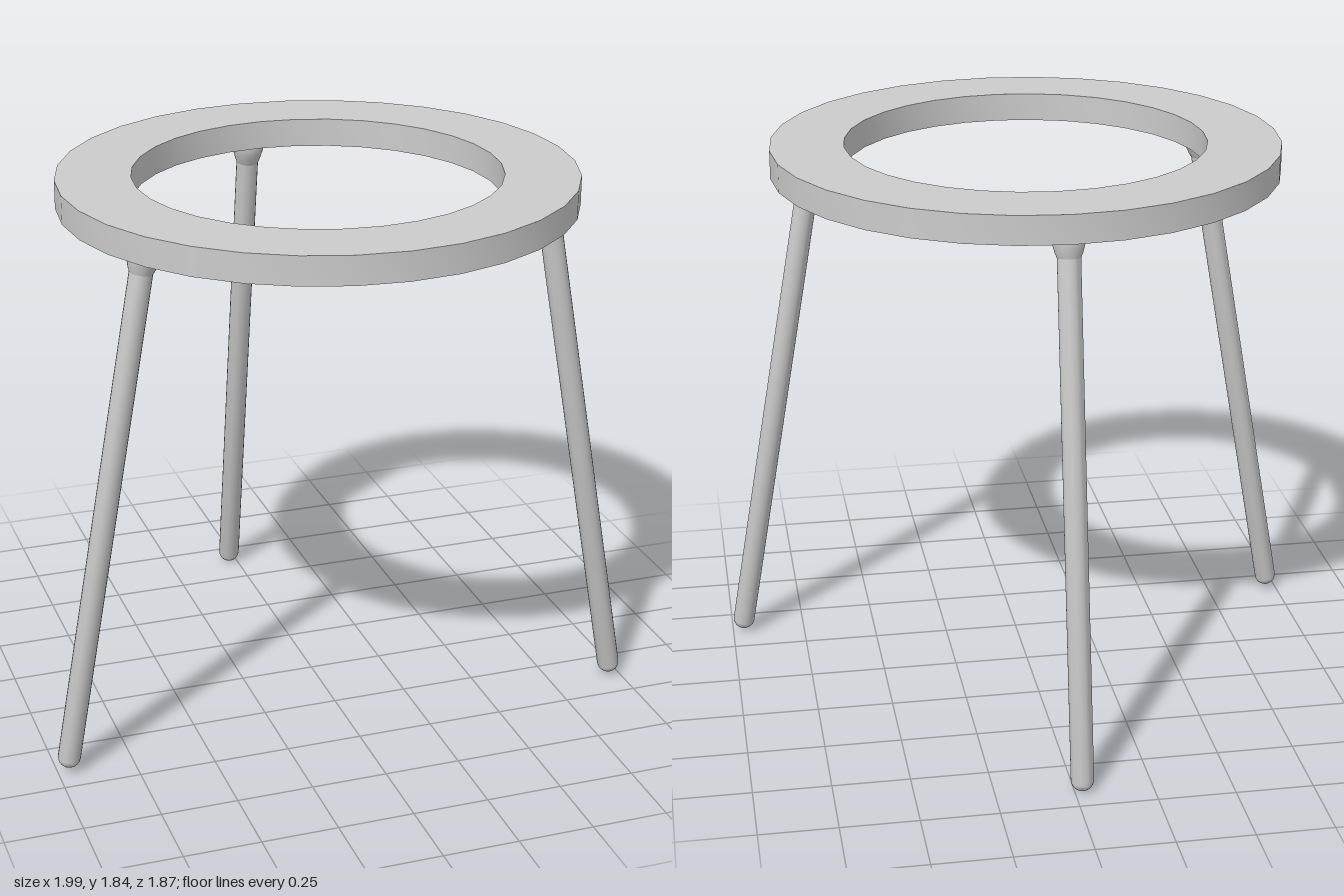
import * as THREE from 'three';
import { toCreasedNormals } from 'three/addons/utils/BufferGeometryUtils.js';

const material = new THREE.MeshStandardMaterial({ color: 0xcccccc });
const UP = new THREE.Vector3(0, 1, 0);

// Turns [radius, height] pairs into a solid with crisp profile corners
function turned(profile, segments) {
  const points = profile.map(([r, y]) => new THREE.Vector2(r, y));
  return toCreasedNormals(new THREE.LatheGeometry(points, segments), 0.7);
}

function addMesh(parent, name, geometry) {
  const mesh = new THREE.Mesh(geometry, material);
  mesh.name = name;
  parent.add(mesh);
  return mesh;
}

// Splayed round leg with a domed foot and a flared collar under the seat
function createLeg(name, foot, top) {
  const leg = new THREE.Group();
  leg.name = name;
  const axis = top.clone().sub(foot);
  const length = axis.length();
  const radius = 0.037;

  const shaft = [];
  for (let i = 0; i <= 6; i++) {
    const a = (i / 6) * Math.PI / 2;
    shaft.push([radius * Math.sin(a), -radius * Math.cos(a)]);
  }
  shaft.push([radius, length - 0.02]);
  addMesh(leg, name + 'Shaft', turned(shaft, 20));

  const collar = [
    [0, -0.062], [0.036, -0.062], [0.043, -0.045], [0.05, -0.02],
    [0.055, 0.005], [0.053, 0.014], [0, 0.014],
  ].map(([r, y]) => [r, length + y]);
  addMesh(leg, name + 'Collar', turned(collar, 20));

  leg.position.copy(foot);
  leg.quaternion.setFromUnitVectors(UP, axis.normalize());
  return leg;
}

export function createModel() {
  const model = new THREE.Group();
  model.name = 'stool';

  // Flat ring-shaped seat
  const seat = addMesh(model, 'seatRing', turned([
    [0.59, 1.745], [0.83, 1.745], [0.83, 1.838], [0.59, 1.838], [0.59, 1.745],
  ], 32));
  seat.position.set(-0.013, 0, 0.102);

  // Three legs, each with its foot and top centre
  const legs = [
    ['rightLeg', [-0.96, 0.055, 0.403], [-0.665, 1.73, 0.403]],
    ['leftLeg', [0.96, 0.05, 0.373], [0.663, 1.73, 0.373]],
    ['backLeg', [-0.026, 0.038, -0.902], [-0.026, 1.725, -0.6]],
  ];
  for (const [name, foot, top] of legs) {
    model.add(createLeg(name, new THREE.Vector3(...foot), new THREE.Vector3(...top)));
  }
  return model;
}
